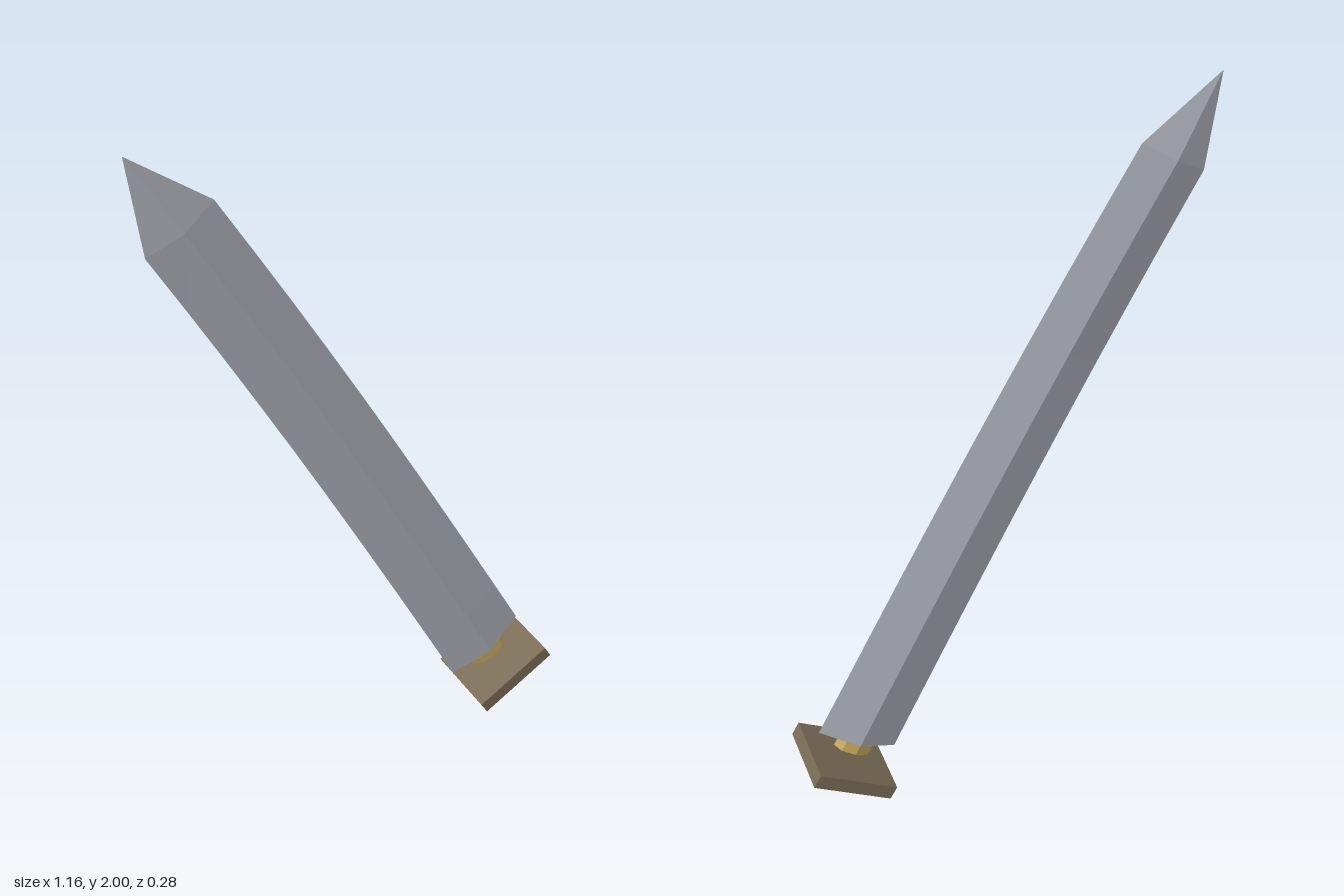
import * as THREE from 'three';

const steel = new THREE.MeshStandardMaterial({ color: 0xa9acb4 });
const brass = new THREE.MeshStandardMaterial({ color: 0xc6a75c });
const bronze = new THREE.MeshStandardMaterial({ color: 0x776a53 });
steel.name = 'steel';
brass.name = 'brass';
bronze.name = 'bronze';
for (const m of [steel, brass, bronze]) m.flatShading = true;

// Gently curved, tapering blade with a diamond cross-section
function bladeGeometry() {
  const steps = 10, length = 1.863, bend = 0.058;
  const pos = [], index = [];
  for (let i = 0; i <= steps; i++) {
    const t = i / steps;
    const x = bend * Math.sin(t * Math.PI / 2);
    const y = length * t;
    const w = THREE.MathUtils.lerp(0.125, 0.0995, t);
    const d = THREE.MathUtils.lerp(0.033, 0.026, t);
    pos.push(x + w, y, 0, x, y, d, x - w, y, 0, x, y, -d);
  }
  for (let i = 0; i < steps; i++) {
    for (let k = 0; k < 4; k++) {
      const a = i * 4 + k, b = i * 4 + (k + 1) % 4;
      index.push(a, a + 4, b, b, a + 4, b + 4);
    }
  }
  // Pointed tip
  const tip = pos.length / 3, top = steps * 4;
  pos.push(bend, 2.1, 0);
  for (let k = 0; k < 4; k++) index.push(top + k, tip, top + (k + 1) % 4);
  // Closed base
  index.push(0, 1, 2, 0, 2, 3);

  const g = new THREE.BufferGeometry();
  g.setAttribute('position', new THREE.Float32BufferAttribute(pos, 3));
  g.setIndex(index);
  // Reverse the winding so that every face points outwards
  for (let i = 0; i < index.length; i += 3) {
    const [a, b, c] = [0, 1, 2].map(k => new THREE.Vector3().fromArray(pos, index[i + k] * 3));
    const mid = a.clone().add(b).add(c).divideScalar(3);
    const t = THREE.MathUtils.clamp(mid.y / length, 0, 1);
    const centre = new THREE.Vector3(bend * Math.sin(t * Math.PI / 2), THREE.MathUtils.clamp(mid.y, 0.02, 1.87), 0);
    const normal = b.sub(a).cross(c.sub(a));
    if (normal.dot(mid.sub(centre)) < 0) [index[i + 1], index[i + 2]] = [index[i + 2], index[i + 1]];
  }
  g.setIndex(index);
  const flat = g.toNonIndexed();
  flat.computeVertexNormals();
  return flat;
}

function addPart(group, name, geometry, material, y = 0) {
  const mesh = new THREE.Mesh(geometry, material);
  mesh.name = name;
  mesh.position.y = y;
  group.add(mesh);
}

export function createModel() {
  const sword = new THREE.Group();
  sword.name = 'sword';
  addPart(sword, 'blade', bladeGeometry(), steel);

  // Small oval collar under the blade
  const collar = new THREE.CylinderGeometry(1, 1, 0.034, 8);
  collar.scale(0.06, 1, 0.032);
  addPart(sword, 'collar', collar, brass, -0.015);

  // Square guard plate, set a little apart from the collar
  addPart(sword, 'guard', new THREE.BoxGeometry(0.25, 0.043, 0.225), bronze, -0.082);

  // Lean the sword over and turn it slightly
  sword.rotation.set(0, THREE.MathUtils.degToRad(8), THREE.MathUtils.degToRad(30), 'YXZ');
  sword.position.set(0.407, 0.152, -0.005);

  const model = new THREE.Group();
  model.name = 'leaningSword';
  model.add(sword);
  return model;
}
